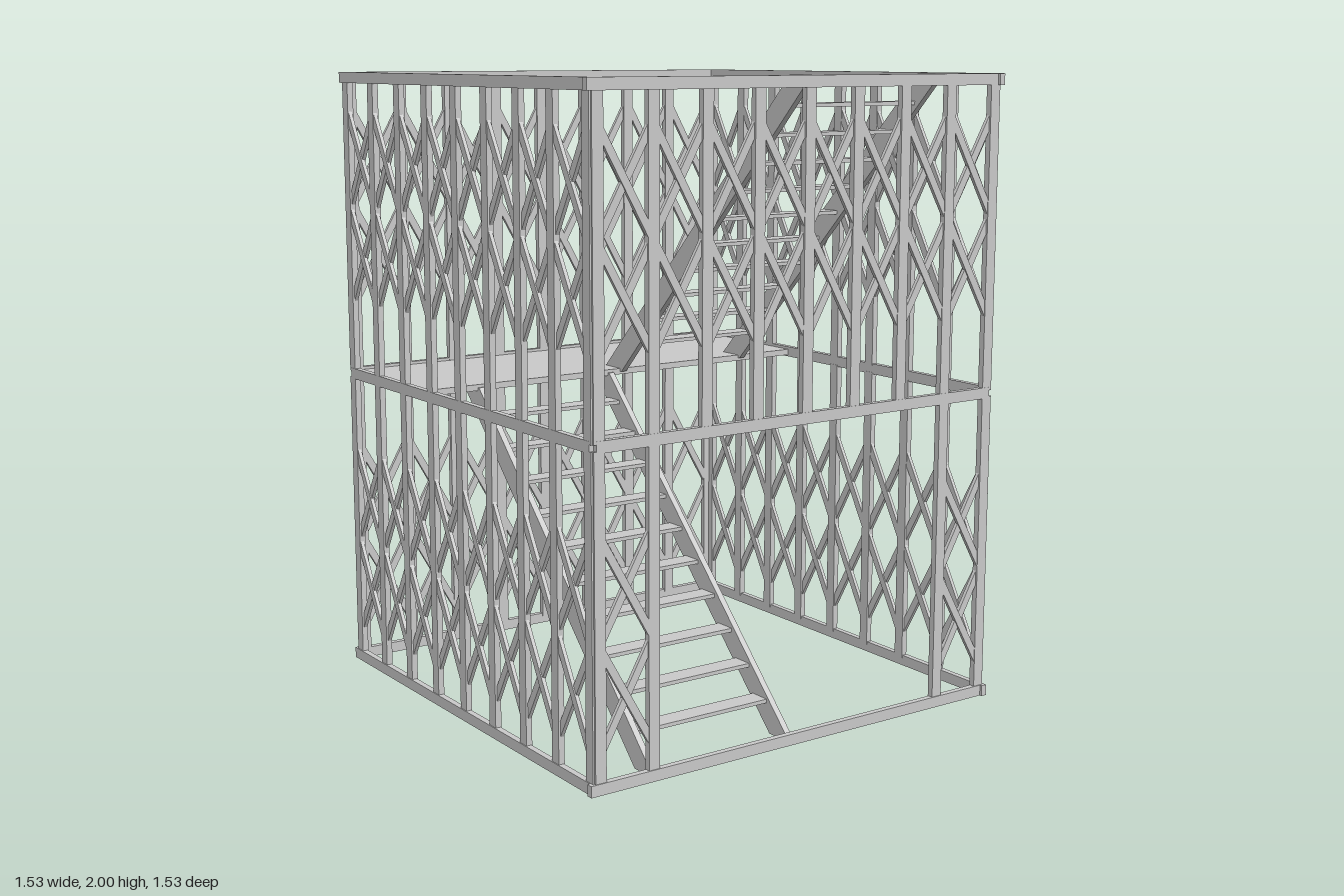
import * as THREE from 'three';

const mat = new THREE.MeshStandardMaterial({ color: 0xcccccc, flatShading: true });

function box(parent, name, size, pos, tilt = 0) {
  const mesh = new THREE.Mesh(new THREE.BoxGeometry(...size), mat);
  mesh.name = name;
  mesh.position.set(...pos);
  mesh.rotation.z = tilt;
  parent.add(mesh);
  return mesh;
}

const BAYS = 8, PITCH = 0.1825, POST_W = 0.037;
const postX = i => (i - BAYS / 2) * PITCH;

// Two stacked crosses of slats in one bay
function latticeBay(parent, x, y0) {
  const h = 0.32, len = Math.hypot(PITCH, h), angle = Math.atan2(PITCH, h);
  for (let k = 0; k < 2; k++)
    for (const s of [-1, 1])
      box(parent, 'latticeSlat', [0.024, len, 0.012], [x, y0 + h * (k + 0.5), 0.744 + s * 0.002], s * angle);
}

// One wall: rails, posts and lattice on two storeys; the entrance leaves the lower middle open
function wall(name, entrance) {
  const g = new THREE.Group();
  g.name = name;
  for (const y of [0.0175, 1.9825])
    box(g, 'rail', [1.51, 0.035, 0.02], [-0.01, y, 0.747]);
  box(g, 'middleRail', [1.48, 0.035, 0.02], [0, 1.002, 0.745]);
  for (let storey = 0; storey < 2; storey++) {
    const open = entrance && storey === 0;
    for (let i = 0; i <= BAYS; i++) {
      if (open && i > 1 && i < BAYS - 1) continue;
      box(g, 'post', [POST_W, 0.965, 0.02], [postX(i), storey ? 1.4925 : 0.5075, 0.744]);
    }
    for (let i = 0; i < BAYS; i++) {
      if (open && i > 0 && i < BAYS - 1) continue;
      latticeBay(g, postX(i) + PITCH / 2, storey ? 1.24 : 0.11);
    }
  }
  return g;
}

// Open flight: two slanted stringers with level ends, ten thin treads
function stair(name, x, y0, dir) {
  const g = new THREE.Group();
  g.name = name;
  // side profile drawn in (-z, y); dir = 1 climbs to the back, -1 climbs to the front
  const low = dir > 0 ? 0 : 1, high = 1 - low;
  const profile = new THREE.Shape([
    [-0.74, low], [-0.64, low], [0.355, high], [0.25, high],
  ].map(p => new THREE.Vector2(...p)));
  const geo = new THREE.ExtrudeGeometry(profile, { depth: 0.02, bevelEnabled: false });
  geo.translate(0, 0, -0.01);
  geo.rotateY(Math.PI / 2);
  for (const s of [-1, 1]) {
    const m = new THREE.Mesh(geo, mat);
    m.name = 'stringer';
    m.position.set(x + s * 0.25, y0, 0);
    g.add(m);
  }
  for (let i = 0; i < 10; i++) {
    const rise = 0.1 + 0.09 * i;
    const z = dir > 0 ? 0.69 - rise : rise - 0.315;
    box(g, 'tread', [0.48, 0.012, 0.068], [x, y0 + rise, z]);
  }
  return g;
}

export function createModel() {
  const model = new THREE.Group();
  model.name = 'stairTower';

  // Walls, turned around the tower so the rails overlap at the corners
  ['frontWall', 'leftWall', 'backWall', 'rightWall'].forEach((name, k) => {
    const w = wall(name, k === 0);
    w.rotation.y = k * Math.PI / 2;
    model.add(w);
  });

  // Landing between the flights
  box(model, 'landing', [1.48, 0.02, 0.485], [0, 1.0, -0.5]);

  model.add(stair('lowerStair', -0.28, 0, 1));
  model.add(stair('upperStair', 0.27, 1, -1));
  return model;
}
